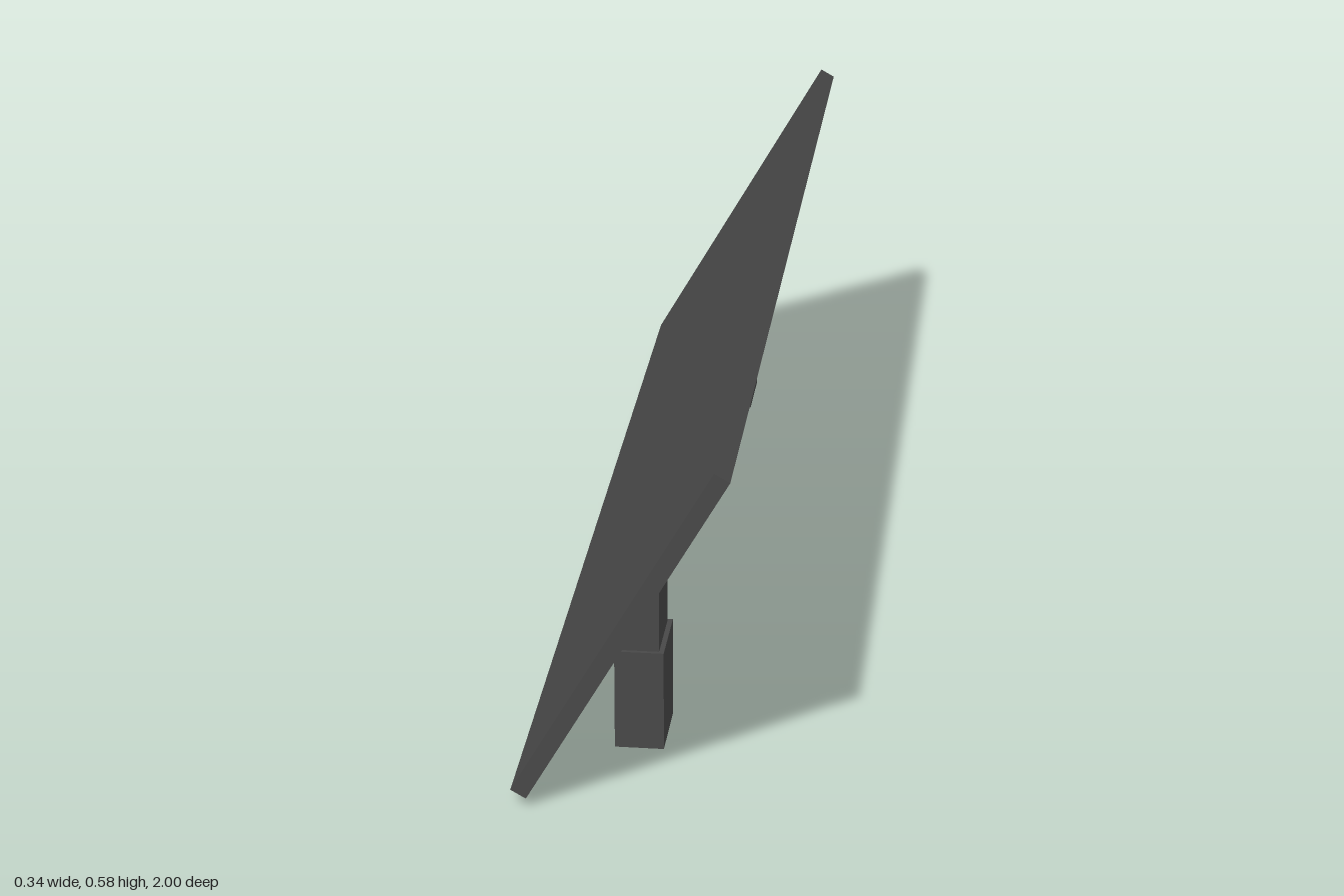
import * as THREE from 'three';

export function createModel() {
  const model = new THREE.Group();
  model.name = 'tiltedPanel';
  const darkGrey = new THREE.MeshStandardMaterial({ color: 0x484848 });
  darkGrey.name = 'darkGrey';

  const add = (parent, name, geometry, x, y, z) => {
    const mesh = new THREE.Mesh(geometry, darkGrey);
    mesh.name = name;
    mesh.position.set(x, y, z);
    parent.add(mesh);
    return mesh;
  };

  // Long flat board leaning at 60 degrees
  const panel = add(model, 'panel', new THREE.BoxGeometry(0.634, 0.028, 2), 0, 0.296, 0);
  panel.rotation.z = Math.PI / 3;

  // Upper post profile, its slanted top seated just inside the board
  const postShape = new THREE.Shape([
    new THREE.Vector2(-0.028, 0.168),
    new THREE.Vector2(0.036, 0.168),
    new THREE.Vector2(0.036, 0.341),
    new THREE.Vector2(-0.028, 0.23),
  ]);
  const postDepth = 0.115;

  // Two stepped legs, one near each end
  for (const [name, z] of [['frontLeg', 0.719], ['backLeg', -0.719]]) {
    const leg = new THREE.Group();
    leg.name = name;
    leg.position.z = z;
    add(leg, name + 'Foot', new THREE.BoxGeometry(0.079, 0.169, 0.128), 0.0045, 0.0845, 0);
    add(leg, name + 'Post',
      new THREE.ExtrudeGeometry(postShape, { depth: postDepth, bevelEnabled: false }),
      0, 0, -postDepth / 2);
    model.add(leg);
  }
  return model;
}
